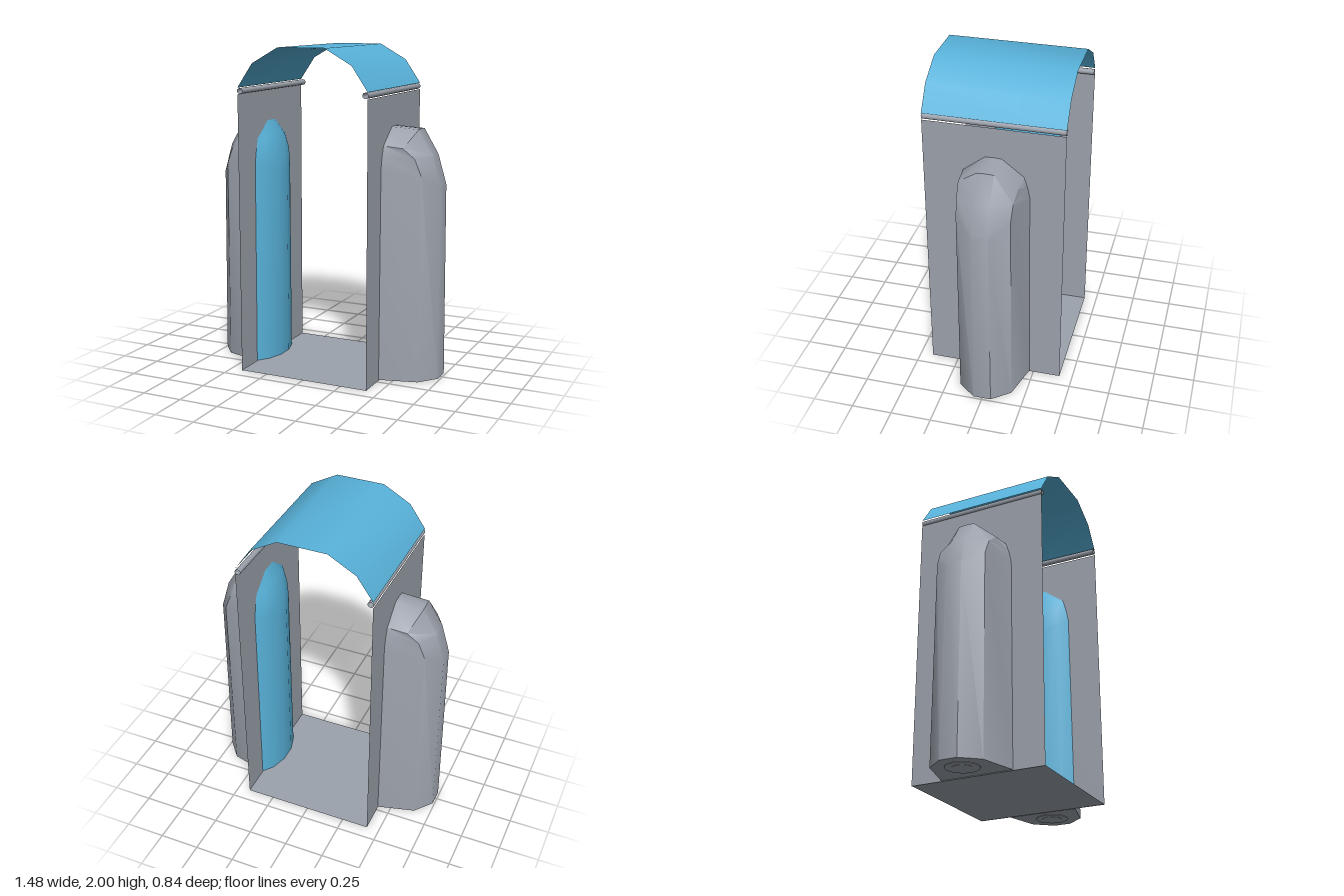
import * as THREE from 'three';
import { toCreasedNormals } from 'three/addons/utils/BufferGeometryUtils.js';

const grey = new THREE.MeshStandardMaterial({ color: 0x9ca2ac, side: THREE.DoubleSide });
grey.name = 'grey metal';
const blue = new THREE.MeshStandardMaterial({ color: 0x58b2da, side: THREE.DoubleSide });
blue.name = 'blue glass';

// Skins a grid of [x, y, z] rows of equal length
function loft(rows, crease) {
  const n = rows[0].length;
  const index = [];
  for (let r = 0; r < rows.length - 1; r++) {
    for (let i = 0; i < n - 1; i++) {
      const a = r * n + i, b = a + 1, c = a + n, d = c + 1;
      index.push(a, b, d, a, d, c);
    }
  }
  const geometry = new THREE.BufferGeometry();
  geometry.setAttribute('position', new THREE.Float32BufferAttribute(rows.flat(2), 3));
  geometry.setIndex(index);
  return toCreasedNormals(geometry, crease);
}

// Half outlines [x, y, z] from wall to tip, completed by mirroring in z;
// side -1 mirrors the shape across x and reverses the winding
function bulge(halfRows, side, crease) {
  const rows = halfRows.map((half) => {
    const row = [...half, ...half.map(([x, y, z]) => [x, y, -z]).reverse()]
      .map(([x, y, z]) => [side * x, y, z]);
    return side > 0 ? row.reverse() : row;
  });
  return loft(rows, crease);
}

// Outer pod: base cap, straight body, tapered shoulder, faceted crown
const podRows = [
  [[0.42, 0.005, 0], [0.65, 0.005, 0], [0.74, 0.005, 0]],
  [[0.42, 0.005, 0.225], [0.65, 0.005, 0.165], [0.74, 0.005, 0.055]],
  [[0.42, 1.3, 0.215], [0.65, 1.26, 0.16], [0.733, 1.19, 0.05]],
  [[0.42, 1.37, 0.2], [0.61, 1.36, 0.165], [0.68, 1.37, 0.05]],
  [[0.42, 1.43, 0.18], [0.54, 1.42, 0.175], [0.59, 1.52, 0.05]],
  [[0.42, 1.53, 0.05], [0.59, 1.52, 0.05], [0.59, 1.52, 0.05]],
  [[0.42, 1.533, 0], [0.59, 1.523, 0], [0.59, 1.523, 0]],
];

// Inner bulge, rounding over into the wall at the top
const innerRows = [
  [[0.42, 0.005, 0], [0.37, 0.005, 0], [0.34, 0.005, 0]],
  [[0.42, 0.005, 0.225], [0.37, 0.005, 0.16], [0.338, 0.005, 0.055]],
  [[0.42, 1.28, 0.215], [0.37, 1.24, 0.155], [0.338, 1.2, 0.05]],
  [[0.42, 1.36, 0.2], [0.375, 1.34, 0.15], [0.35, 1.33, 0.05]],
  [[0.42, 1.43, 0.18], [0.395, 1.43, 0.13], [0.38, 1.45, 0.05]],
  [[0.42, 1.53, 0.05], [0.42, 1.53, 0.05], [0.42, 1.53, 0.05]],
  [[0.42, 1.533, 0], [0.42, 1.533, 0], [0.42, 1.533, 0]],
];

export function createModel() {
  const model = new THREE.Group();
  const add = (name, geometry, material, x = 0, y = 0, z = 0) => {
    const mesh = new THREE.Mesh(geometry, material);
    mesh.name = name;
    mesh.position.set(x, y, z);
    model.add(mesh);
    return mesh;
  };

  // Thin floor sheet
  add('floor', new THREE.PlaneGeometry(0.84, 0.84).rotateX(-Math.PI / 2), grey, 0, 0.002);

  // Arched roof sheet
  const half = [[0.42, 1.76], [0.32, 1.905], [0.15, 2]];
  const arch = [...half.map(([x, y]) => [-x, y]), ...half.slice().reverse()];
  const roofRows = [0.42, -0.42].map((z) => arch.map(([x, y]) => [x, y, z]));
  add('roof', loft(roofRows, 1), blue);

  for (const side of [1, -1]) {
    const label = side > 0 ? 'left' : 'right';

    // Side wall with a rolled bead above it
    add(label + 'Wall', new THREE.PlaneGeometry(0.84, 1.72).rotateY(side * Math.PI / 2),
      grey, side * 0.42, 0.86);
    add(label + 'Bead',
      new THREE.CylinderGeometry(0.018, 0.018, 0.84, 10, 1, true).rotateX(Math.PI / 2),
      grey, side * 0.405, 1.74);

    // Pod outside the wall and its blue counterpart inside
    add(label + 'Pod', bulge(podRows, side, 0.65), grey);
    add(label + 'InnerBulge', bulge(innerRows, side, 1), blue);

    // Round foot under the pod
    add(label + 'Foot', new THREE.CylinderGeometry(0.1, 0.1, 0.003, 16), grey, side * 0.58, 0.0035);
    add(label + 'FootCentre', new THREE.CylinderGeometry(0.06, 0.06, 0.002, 16), grey, side * 0.58, 0.001);
  }
  return model;
}
